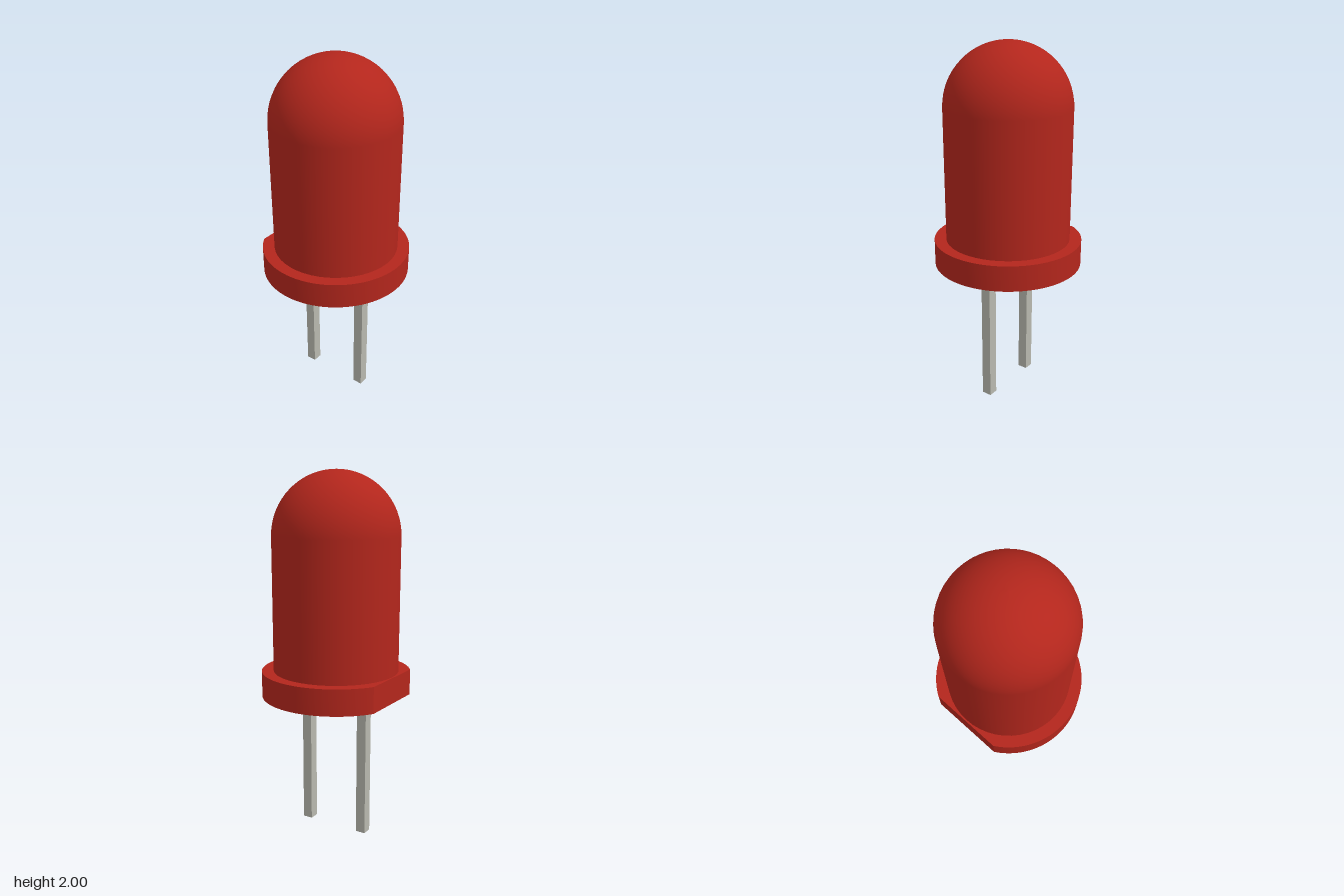
import * as THREE from 'three';
import { toCreasedNormals } from 'three/addons/utils/BufferGeometryUtils.js';

export function createModel() {
  const group = new THREE.Group();
  const red = new THREE.MeshStandardMaterial({ color: 0xb3261c });
  const metal = new THREE.MeshStandardMaterial({ color: 0xb8b8ae });
  const axisX = -0.03;
  const bodyR = 0.345, flangeR = 0.41;
  const flangeY = 0.785, flangeH = 0.142, top = 2;

  const add = (name, geometry, material, x, y) => {
    const mesh = new THREE.Mesh(geometry, material);
    mesh.name = name;
    mesh.position.set(x, y, 0);
    group.add(mesh);
  };

  // Lens: straight cylinder wall running into a hemispherical dome
  const profile = [new THREE.Vector2(bodyR, flangeY + 0.05)];
  const steps = 16;
  for (let i = 0; i <= steps; i++) {
    const a = (i / steps) * Math.PI / 2;
    profile.push(new THREE.Vector2(i === steps ? 0 : bodyR * Math.cos(a), top - bodyR + bodyR * Math.sin(a)));
  }
  add('lens', new THREE.LatheGeometry(profile, 48), red, axisX, 0);

  // Flange: disc with one flat side towards -x
  const cut = Math.acos(0.353 / flangeR);
  const outline = new THREE.Shape();
  outline.absarc(0, 0, flangeR, -Math.PI + cut, Math.PI - cut, false);
  outline.closePath();
  const flange = new THREE.ExtrudeGeometry(outline, { depth: flangeH, bevelEnabled: false, curveSegments: 36 });
  flange.rotateX(-Math.PI / 2);
  add('flange', toCreasedNormals(flange, 0.3), red, axisX, flangeY);

  // Two square wire leads
  const leadH = flangeY + 0.02;
  for (const [name, x] of [['rightLead', -0.21], ['leftLead', 0.149]]) {
    add(name, new THREE.BoxGeometry(0.056, leadH, 0.056), metal, x, leadH / 2);
  }
  return group;
}
